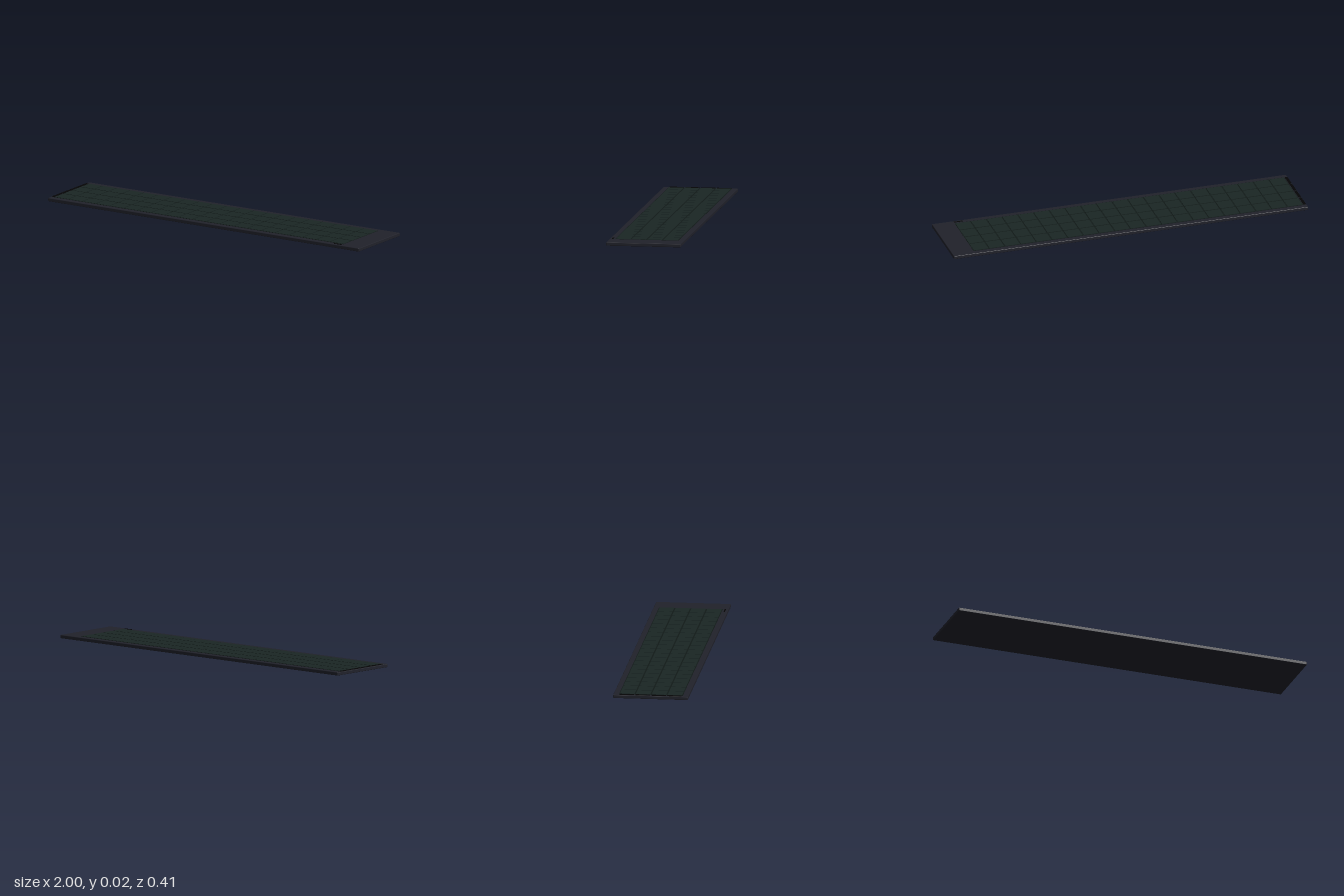
import * as THREE from 'three';
import { RoundedBoxGeometry } from 'three/addons/geometries/RoundedBoxGeometry.js';

const material = (color) => new THREE.MeshStandardMaterial({ color });
const frameMat = material(0x20212a);
const backingMat = material(0x111a18);
const cellMat = material(0x1a2624);
const blackMat = material(0x050506);

function add(parent, name, geometry, mat, x, y, z) {
  const mesh = new THREE.Mesh(geometry, mat);
  mesh.name = name;
  mesh.position.set(x, y, z);
  parent.add(mesh);
  return mesh;
}

export function createModel() {
  const model = new THREE.Group();
  model.name = 'tiledPanel';

  // Thin slab with softened edges
  add(model, 'slab', new RoundedBoxGeometry(2, 0.0185, 0.406, 3, 0.003), frameMat, 0, 0.00925, 0);

  // Dark backing that shows between the cells
  const left = -0.98, right = 0.88, depth = 0.346;
  add(model, 'backing', new THREE.BoxGeometry(right - left, 0.001, depth),
    backingMat, (left + right) / 2, 0.0186, 0);

  // Grid of raised cells
  const columns = 21, rows = 4;
  const pitchX = (right - left) / columns, pitchZ = 0.0862;
  const cellGeometry = new THREE.BoxGeometry(pitchX - 0.007, 0.002, 0.078);
  const cells = new THREE.Group();
  cells.name = 'cells';
  model.add(cells);
  for (let r = 0; r < rows; r++) {
    const z = (r - (rows - 1) / 2) * pitchZ;
    for (let c = 0; c < columns; c++) {
      add(cells, 'cell', cellGeometry, cellMat, left + (c + 0.5) * pitchX, 0.0196, z);
    }
    // Black contact strip at the end of each row
    add(model, 'contactStrip', new THREE.BoxGeometry(0.014, 0.003, 0.078), blackMat, -0.99, 0.0195, z);
  }

  // Small black tab beside the last column
  add(model, 'tab', new THREE.BoxGeometry(0.05, 0.003, 0.007), blackMat, 0.855, 0.0192, 0.187);

  return model;
}
